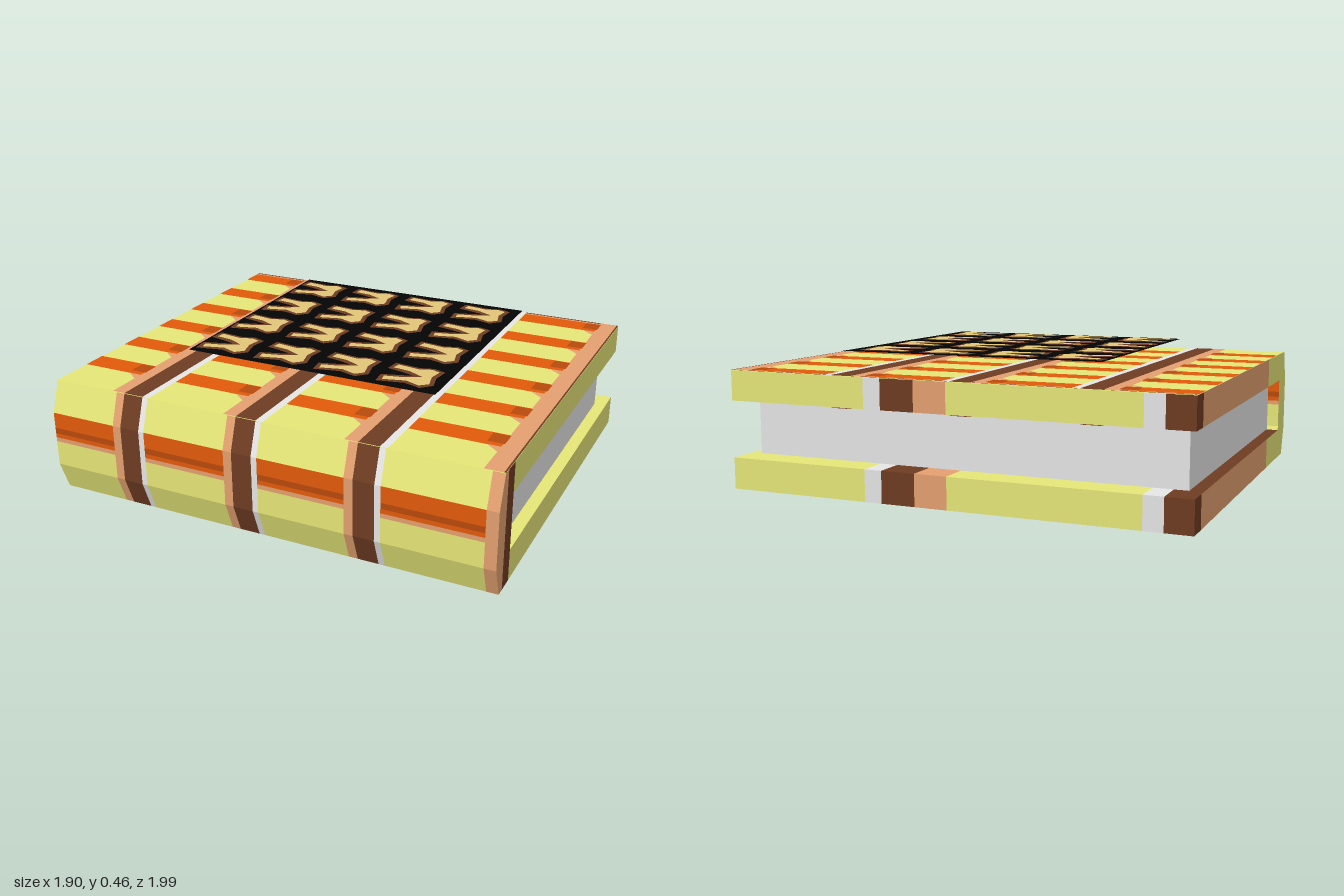
import * as THREE from 'three';

const mat = (name, color) => {
  const m = new THREE.MeshStandardMaterial({ color, side: THREE.DoubleSide });
  m.name = name;
  return m;
};

export function createModel() {
  const olive = mat('olive cloth', 0xe6e678);
  const orange = mat('orange', 0xe25a0a);
  const rust = mat('dark orange', 0xb84a0c);
  const brown = mat('dark brown', 0x6e3c22);
  const tan = mat('tan', 0xe4a070);
  const paper = mat('paper grey', 0xe6e6e6);
  const black = mat('black', 0x040404);
  const gold = mat('pale gold', 0xe2c678);

  const group = new THREE.Group();
  const book = new THREE.Group();
  book.name = 'book';
  book.rotation.y = 0.447;
  group.add(book);

  // Book size in its own frame: spine at -x, pages open at +x
  const U = 0.682, V = 0.778, H = 0.395, LOW = 0.105, HIGH = 0.295;
  const SPINE = -0.56, BEVEL = -0.645, PAGE = 0.737;

  const add = (name, geometry, material) => {
    const m = new THREE.Mesh(geometry, material);
    m.name = name;
    book.add(m);
    return m;
  };
  // Flat convex polygon from corner points
  const poly = (name, material, pts) => {
    const g = new THREE.BufferGeometry();
    const pos = [];
    for (let i = 1; i < pts.length - 1; i++) pos.push(...pts[0], ...pts[i], ...pts[i + 1]);
    g.setAttribute('position', new THREE.Float32BufferAttribute(pos, 3));
    g.computeVertexNormals();
    return add(name, g, material);
  };
  // Horizontal rectangle, facing up
  const flat = (name, material, y, u0, u1, v0, v1) =>
    poly(name, material, [[u0, y, v1], [u1, y, v1], [u1, y, v0], [u0, y, v0]]);

  // Page block, a hair clear of both boards
  const pages = add('pages', new THREE.BoxGeometry(0.589 - SPINE, HIGH - LOW - 0.003, PAGE * 2), paper);
  pages.position.set((0.589 + SPINE) / 2, (HIGH + LOW) / 2, 0);
  // Narrow lining between the page block and the front spine cap
  for (const [m, v0, v1] of [[brown, PAGE, 0.757], [paper, 0.757, V]]) {
    poly('spineLining', m, [[SPINE, LOW, v1], [SPINE, LOW, v0], [SPINE, HIGH, v0], [SPINE, HIGH, v1]]);
  }

  // Hollow spine: bevelled profile swept along z in coloured lengths
  const profile = [[BEVEL, 0], [-U, 0.1], [-U, 0.185], [-U, 0.2], [-U, 0.215],
    [-U, 0.235], [-U, 0.29], [BEVEL, H]];
  const field = [olive, olive, tan, orange, rust, orange, olive];
  const sweep = (v0, v1, colours) => {
    for (let i = 0; i < profile.length - 1; i++) {
      const [a, b] = profile[i], [c, d] = profile[i + 1];
      poly('spine', colours[i], [[a, b, v0], [a, b, v1], [c, d, v1], [c, d, v0]]);
    }
  };
  const plain = (material) => field.map(() => material);
  const bands = [-0.467, -0.05, 0.366];
  let start = -V;
  for (const c of bands) {
    sweep(start, c - 0.07, field);
    sweep(c - 0.07, c - 0.04, plain(tan));
    sweep(c - 0.04, c + 0.03, plain(brown));
    sweep(c + 0.03, c + 0.05, plain(paper));
    start = c + 0.05;
  }
  sweep(start, 0.74, field);
  sweep(0.74, V, plain(tan));

  // Spine end caps
  const cap = (v, outer, inner) => {
    poly('spineCap', outer, [[BEVEL, 0, v], [-0.617, 0, v], [-0.617, H, v],
      [BEVEL, H, v], [-U, 0.29, v], [-U, 0.1, v]]);
    poly('spineCap', inner, [[-0.617, 0, v], [SPINE, 0, v], [SPINE, H, v], [-0.617, H, v]]);
  };
  cap(V, tan, brown);
  cap(-V, olive, olive);

  // Colour lengths along the fore edge, from back to front
  const edge = [[-V, brown], [-0.69, paper], [-0.627, olive], [-0.007, tan],
    [0.104, brown], [0.22, paper], [0.28, olive], [V]];
  // Colour lengths along the back edge, from spine to fore edge
  const back = [[SPINE, olive], [-0.345, tan], [0.61, brown], [U]];

  // Cover borders, upper and lower
  for (const [y0, y1, name] of [[0, LOW, 'lowerCover'], [HIGH, H, 'upperCover']]) {
    for (let i = 0; i < edge.length - 1; i++) {
      const [v0, m] = edge[i], v1 = edge[i + 1][0];
      poly(name + 'ForeEdge', m, [[U, y0, v1], [U, y0, v0], [U, y1, v0], [U, y1, v1]]);
      if (name === 'lowerCover') flat('lowerCoverBoard', m, LOW, SPINE, U, v0, v1);
    }
    for (let i = 0; i < back.length - 1; i++) {
      const [u0, m] = back[i], u1 = back[i + 1][0];
      poly(name + 'BackEdge', m, [[u1, y0, -V], [u0, y0, -V], [u0, y1, -V], [u1, y1, -V]]);
    }
    poly(name + 'FrontEdge', olive, [[SPINE, y0, V], [U, y0, V], [U, y1, V], [SPINE, y1, V]]);
  }
  flat('upperCoverLining', olive, HIGH, SPINE, U, -V, V);
  flat('upperCoverTop', olive, H, BEVEL, U, -V, V);

  // Plaid on the upper cover, with the outermost stripe repeated on the lining
  const ends = [...bands, 0.798];
  const stripes = [0, 1, 2, 3, 4, 5].map((k) => -0.45 + 0.215 * k);
  let rowStart = -V;
  for (const c of ends) {
    const last = c > 0.5;
    for (const s of stripes) {
      flat('orangeStripe', orange, H + 0.001, s - 0.043, Math.min(s + 0.043, U), rowStart, c - 0.07);
      flat('stripePatch', rust, H + 0.003, s - 0.025, Math.min(s + 0.035, U), c - 0.135, c - 0.08);
      // Tan corner at the foot of each olive field, beside the stripe
      const right = s - 0.043, y = H + 0.0015;
      poly('tanScallop', tan, [[right, y, c - 0.08], [right, y, c - 0.13],
        [right - 0.02, y, c - 0.105], [right - 0.04, y, c - 0.08]]);
    }
    flat('tanBand', tan, H + 0.002, BEVEL, U, c - 0.085, last ? V - 0.006 : c - 0.04);
    if (last) {
      flat('brownHem', brown, H + 0.002, BEVEL, U, V - 0.006, V);
    } else {
      flat('brownBand', brown, H + 0.002, BEVEL, U, c - 0.04, c + 0.03);
      flat('paleBand', paper, H + 0.002, BEVEL, U, c + 0.03, c + 0.055);
      flat('liningBand', brown, HIGH - 0.002, 0.59, U, c - 0.04, c + 0.03);
    }
    rowStart = c + 0.055;
  }
  flat('liningStripe', orange, HIGH - 0.001, 0.59, 0.64, -V, V);
  flat('coverRim', tan, H + 0.0015, 0.664, 0.674, -V, V);
  flat('coverRim', brown, H + 0.0015, 0.674, U, -V, V);

  // Black sheet raised above the cover, with a grid of forked motifs
  const SHEET = 0.457;
  flat('panel', black, SHEET, -0.355, 0.523, -0.448, 0.45);
  const motif = (pts) => {
    const g = new THREE.ShapeGeometry(new THREE.Shape(pts.map(([x, y]) => new THREE.Vector2(x, y))));
    return g.rotateX(-Math.PI / 2);
  };
  const outline = motif([[-0.086, 0.09], [-0.03, 0.096], [-0.014, 0.04], [0, -0.005], [0.014, 0.04],
    [0.026, 0.096], [0.08, 0.09], [0.07, 0], [0.084, -0.045], [0.068, -0.088], [0.01, -0.08],
    [-0.05, -0.094], [-0.084, -0.06], [-0.066, 0]]);
  const fill = motif([[-0.07, 0.074], [-0.042, 0.08], [-0.028, 0.02], [0, -0.035], [0.028, 0.02],
    [0.036, 0.08], [0.066, 0.074], [0.055, 0], [0.07, -0.042], [0.058, -0.072],
    [0.01, -0.064], [-0.046, -0.078], [-0.07, -0.052], [-0.05, 0]]);
  for (let i = 0; i < 4; i++) {
    for (let j = 0; j < 4; j++) {
      const u = -0.245 + 0.22 * i, v = -0.345 + 0.224 * j;
      add('motifOutline', outline, brown).position.set(u, SHEET + 0.0015, v);
      add('motif', fill, gold).position.set(u, SHEET + 0.003, v);
    }
  }
  return group;
}
